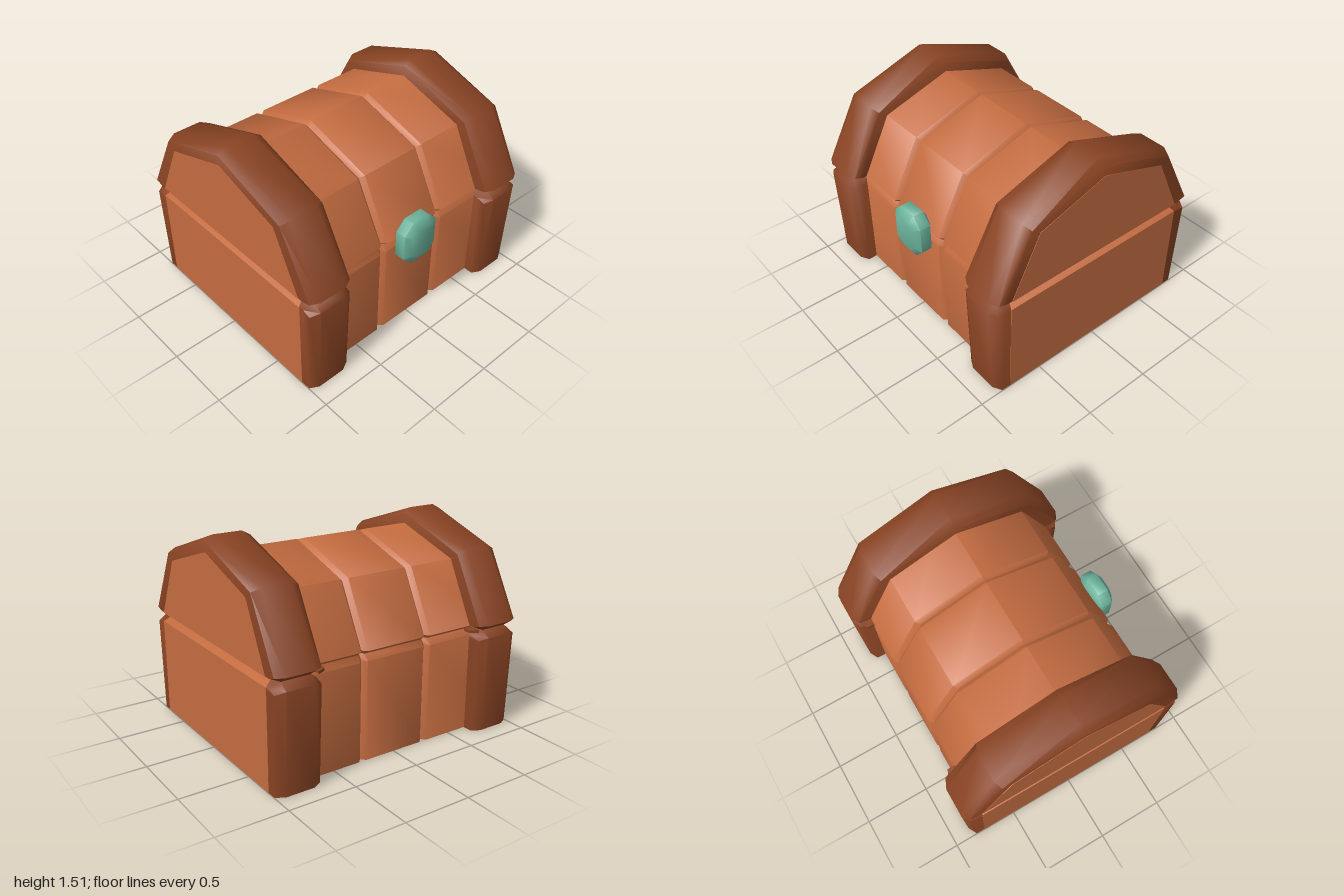
import * as THREE from 'three';
import { toCreasedNormals } from 'three/addons/utils/BufferGeometryUtils.js';

// Mirror a right-hand half outline (bottom to top) into a closed outline.
function mirror(half) {
  const left = half.filter(p => p[0] > 0).reverse().map(([x, y]) => [-x, y]);
  return [...half, ...left];
}

// Solid lofted through half outlines stacked along z (ascending), with end caps.
function loft(rings, crease) {
  const outlines = rings.map(r => mirror(r.half));
  const n = outlines[0].length;
  const pos = [], idx = [];
  outlines.forEach((o, i) => o.forEach(([x, y]) => pos.push(x, y, rings[i].z)));
  for (let i = 0; i < rings.length - 1; i++) {
    for (let j = 0; j < n; j++) {
      const k = (j + 1) % n;
      const a = i * n + j, b = i * n + k, c = b + n, d = a + n;
      idx.push(a, b, c, a, c, d);
    }
  }
  const cap = o => THREE.ShapeUtils.triangulateShape(o.map(p => new THREE.Vector2(...p)), []);
  const last = (rings.length - 1) * n;
  for (const [a, b, c] of cap(outlines[0])) idx.push(a, c, b);
  for (const [a, b, c] of cap(outlines.at(-1))) idx.push(last + a, last + b, last + c);
  const g = new THREE.BufferGeometry();
  g.setAttribute('position', new THREE.Float32BufferAttribute(pos, 3));
  g.setIndex(idx);
  return toCreasedNormals(g, crease);
}

export function createModel() {
  const chest = new THREE.Group();
  chest.name = 'chest';
  const wood = new THREE.MeshStandardMaterial({ name: 'wood', color: 0xc46c40 });
  const darkWood = new THREE.MeshStandardMaterial({ name: 'dark wood', color: 0x884323 });
  const teal = new THREE.MeshStandardMaterial({ name: 'teal', color: 0x6cb39c });
  const add = (name, geometry, material) => {
    const m = new THREE.Mesh(geometry, material);
    m.name = name;
    chest.add(m);
    return m;
  };

  // Plank body: V grooves at z = +-0.265, bevelled ends at the lid seam
  const baseHalf = d => [[0.755 - d, 0.002], [0.755 - d, 0.72], [0.725 - d, 0.765]];
  const lidHalf = d => [[0.725 - d, 0.765], [0.755 - d, 0.79], [0.53 - d * 0.8, 1.23 - d * 0.7], [0, 1.397 - d]];
  const baseEnd = [[0.755, 0.002], [0.755, 0.718], [0.753, 0.72]];
  const lidEnd = [[0.743, 0.788], [0.745, 0.792], [0.53, 1.23], [0, 1.4]];
  const plankRings = (half, end) => {
    const rings = [{ z: -1, half: end }, { z: -0.938, half: half(0) }];
    for (const c of [-0.265, 0.265]) {
      for (const [dz, d] of [[-0.03, 0], [0, 0.033], [0.03, 0]]) rings.push({ z: c + dz, half: half(d) });
    }
    rings.push({ z: 0.938, half: half(0) }, { z: 1, half: end });
    return rings;
  };
  add('baseplanks', loft(plankRings(baseHalf, baseEnd), 0.85), wood).name = 'basePlanks';
  add('lidPlanks', loft(plankRings(lidHalf, lidEnd), 0.85), wood);

  // Bevelled end bands around base and lid
  const bandBase = [[0.86, 0], [0.885, 0.72], [0.82, 0.765]];
  const bandBaseEdge = [[0.825, 0], [0.85, 0.7], [0.79, 0.72]];
  const bandLid = [[0.82, 0.765], [0.885, 0.81], [0.62, 1.3], [0, 1.51]];
  const bandLidEdge = [[0.79, 0.79], [0.85, 0.808], [0.595, 1.275], [0, 1.475]];
  const bandRings = (full, edge) => [
    { z: -0.169, half: edge }, { z: -0.105, half: full },
    { z: 0.105, half: full }, { z: 0.169, half: edge },
  ];
  for (const [end, s] of [['front', 1], ['back', -1]]) {
    add(end + 'BaseBand', loft(bandRings(bandBase, bandBaseEdge), 1.1), darkWood).position.z = s * 0.828;
    add(end + 'LidBand', loft(bandRings(bandLid, bandLidEdge), 1.1), darkWood).position.z = s * 0.828;

    // Small ledge at the seam on the hinge side
    const outline = [[-0.84, 0.67], [-0.81, 0.61], [-0.75, 0.61], [-0.75, 0.67]];
    const shape = new THREE.Shape(outline.map(([x, z]) => new THREE.Vector2(x, -s * z)));
    const ledge = new THREE.ExtrudeGeometry(shape, { depth: 0.02, bevelEnabled: false });
    ledge.rotateX(-Math.PI / 2);
    add(end + 'HingeLedge', ledge, darkWood).position.y = 0.76;
  }

  // Chamfered lock on the +x side
  const octagon = (w, h, c) => [[w - c, -h], [w, c - h], [w, h - c], [w - c, h]];
  const lock = loft([
    { z: -0.075, half: octagon(0.095, 0.12, 0.045) },
    { z: -0.04, half: octagon(0.15, 0.175, 0.075) },
    { z: 0.04, half: octagon(0.15, 0.175, 0.075) },
    { z: 0.075, half: octagon(0.095, 0.12, 0.045) },
  ], 1.1);
  lock.rotateY(Math.PI / 2);
  add('lock', lock, teal).position.set(0.795, 0.745, 0);

  return chest;
}
